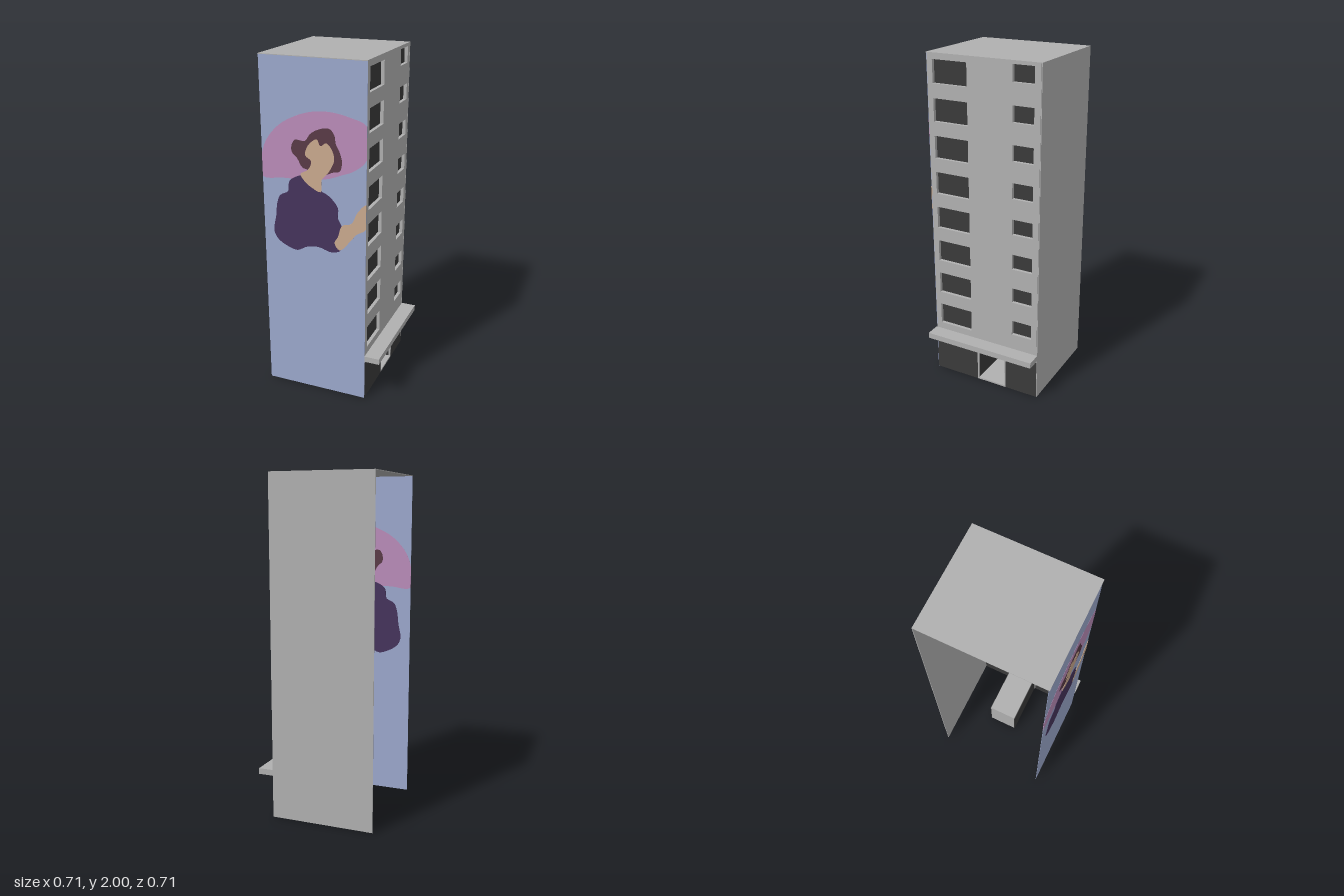
import * as THREE from 'three';

const mat = (name, color, side = THREE.FrontSide) => {
  const m = new THREE.MeshStandardMaterial({ color, side });
  m.name = name;
  return m;
};

export function createModel() {
  const concrete = mat('concrete grey', 0xb0b0b0);
  const glass = mat('dark glass', 0x3a3a3a);
  const blue = mat('mural blue', 0x9ca8cd);
  const pink = mat('mural pink', 0xba8cb9);
  const hairBrown = mat('mural brown', 0x5a3b47);
  const skin = mat('mural skin', 0xcaaa8e);
  const purple = mat('mural purple', 0x46345c);

  const model = new THREE.Group();
  model.name = 'apartmentBlock';

  // Outer limits of the tower
  const X0 = -0.355, X1 = 0.265, Z = 0.353, H = 2;

  const add = (name, geometry, material, parent = model) => {
    const mesh = new THREE.Mesh(geometry, material);
    mesh.name = name;
    parent.add(mesh);
    return mesh;
  };
  // Box given by its limits on each axis
  const box = (name, material, [xa, xb], [ya, yb], [za, zb], parent) => {
    const mesh = add(name, new THREE.BoxGeometry(xb - xa, yb - ya, zb - za), material, parent);
    mesh.position.set((xa + xb) / 2, (ya + yb) / 2, (za + zb) / 2);
    return mesh;
  };

  // Shell: open at the bottom and on the -x side
  box('roof', concrete, [X0, X1], [H - 0.004, H], [-Z, Z]);
  box('backWall', concrete, [X0, X1], [0, H - 0.004], [-Z, -Z + 0.004]);
  box('frontWall', blue, [X0, X1], [0, H - 0.004], [Z - 0.006, Z - 0.004]);

  // Mural: plates centred in the front wall, so they show on both sides
  const mural = new THREE.Group();
  mural.name = 'mural';
  mural.position.z = Z - 0.005;
  model.add(mural);
  const paint = (name, material, layer, points) => {
    const curve = new THREE.CatmullRomCurve3(
      points.map(([x, y]) => new THREE.Vector3(x / 100, y / 100, 0)), true, 'centripetal');
    const outline = curve.getPoints(points.length * 4).slice(0, -1)
      .map(p => new THREE.Vector2(THREE.MathUtils.clamp(p.x, X0, X1), p.y));
    const depth = 0.002 + layer * 0.0016;
    const g = new THREE.ExtrudeGeometry(new THREE.Shape(outline), { depth, bevelEnabled: false });
    g.translate(0, 0, -depth / 2);
    add(name, g, material, mural);
  };
  paint('pinkHalo', pink, 1, [
    [-35.5, 145], [-32, 154], [-25, 162], [-17, 167], [-6, 171], [5, 172], [17, 170], [26.5, 166],
    [26.5, 148], [19, 141], [12, 138], [4, 135], [-10, 133], [-23, 132.5], [-35.5, 132]]);
  paint('paintedHair', hairBrown, 2, [
    [-17, 152], [-15, 155], [-9, 155], [-6, 159], [-1, 162], [5, 163], [8, 160], [9, 155], [11, 151],
    [12.5, 145], [11, 140], [7, 139], [2, 137], [-8, 139], [-11, 140], [-14, 145], [-17, 148]]);
  paint('paintedFace', skin, 3, [
    [-2, 156.5], [0, 153], [3.5, 155], [7, 151], [8, 146], [6, 141], [4, 138], [0.5, 134], [0, 127],
    [-5.5, 129], [-10, 132.5], [-12, 136], [-7.5, 139], [-5.5, 144], [-9, 147], [-7, 153]]);
  paint('paintedShirt', purple, 2.5, [
    [-15, 134], [-11.5, 135], [-6.5, 130], [0, 127.5], [5, 125], [10, 119], [10, 113], [12.5, 107.5],
    [10, 101], [9, 97], [11.5, 94], [6, 92], [-2, 94], [-9, 93], [-15, 90], [-20, 91], [-27, 95],
    [-29.5, 100], [-28, 109], [-27, 117], [-25, 122], [-20, 125], [-19, 131]]);
  paint('paintedArm', skin, 3, [
    [26.5, 123], [26.5, 109], [21, 105], [17, 100], [11, 94], [8, 98], [10, 102], [12.5, 109],
    [18, 111], [21.5, 118]]);

  // Side wall with recessed windows: one wide and one small per floor
  const rect = (path, u0, u1, v0, v1) =>
    path.moveTo(u0, v0).lineTo(u1, v0).lineTo(u1, v1).lineTo(u0, v1).closePath();
  const wallZ = Z - 0.006, wallT = 0.02;
  const wall = new THREE.Shape();
  rect(wall, -wallZ, wallZ, 0.24, H - 0.004);
  const windows = new THREE.Group();
  windows.name = 'windows';
  model.add(windows);
  const types = [
    { name: 'wideWindow', z: [0.095, 0.313], y: [0.332, 0.464] },
    { name: 'smallWindow', z: [-0.31, -0.183], y: [0.387, 0.48] },
  ];
  for (let floor = 0; floor < 8; floor++) {
    for (const { name, z, y } of types) {
      const [y0, y1] = y.map(v => v + floor * 0.2143);
      const hole = new THREE.Path();
      rect(hole, -z[1], -z[0], y0, y1);
      wall.holes.push(hole);
      box(name, glass, [X1 - wallT - 0.004, X1 - wallT], [y0 - 0.002, y1 + 0.002],
        [z[0] - 0.002, z[1] + 0.002], windows);
    }
  }
  const wallGeometry = new THREE.ExtrudeGeometry(wall, { depth: wallT, bevelEnabled: false });
  wallGeometry.rotateY(Math.PI / 2);
  add('sideWall', wallGeometry, concrete).position.x = X1 - wallT;

  // Canopy over the ground floor
  box('canopy', concrete, [X1, 0.355], [0.255, 0.29], [-Z, Z]);

  // Ground floor glazing and door posts
  const doorA = -0.132, doorB = 0.047, post = 0.009;
  box('shopWindow', glass, [X1 - 0.008, X1], [0, 0.24], [doorB + post, Z - 0.006]);
  box('shopWindow', glass, [X1 - 0.008, X1], [0, 0.24], [-Z + 0.004, doorA - post]);
  box('doorPost', concrete, [X1 - 0.012, X1], [0, 0.24], [doorB, doorB + post]);
  box('doorPost', concrete, [X1 - 0.012, X1], [0, 0.24], [doorA - post, doorA]);

  // Deep entrance passage behind the door opening
  const inner = X1 - 0.35;
  const lobby = new THREE.Group();
  lobby.name = 'entrancePassage';
  model.add(lobby);
  box('passageFloor', concrete, [inner, X1], [0, 0.01], [doorA, doorB], lobby);
  box('passageCeiling', concrete, [inner, X1 - wallT], [0.24, 0.245], [doorA, doorB], lobby);
  box('passageEnd', concrete, [inner, inner + 0.004], [0.01, 0.24], [doorA, doorB], lobby);
  for (const [za, zb] of [[doorA - 0.004, doorA], [doorB, doorB + 0.004]])
    box('passageSide', glass, [inner, X1 - 0.012], [0, 0.24], [za, zb], lobby);

  return model;
}
